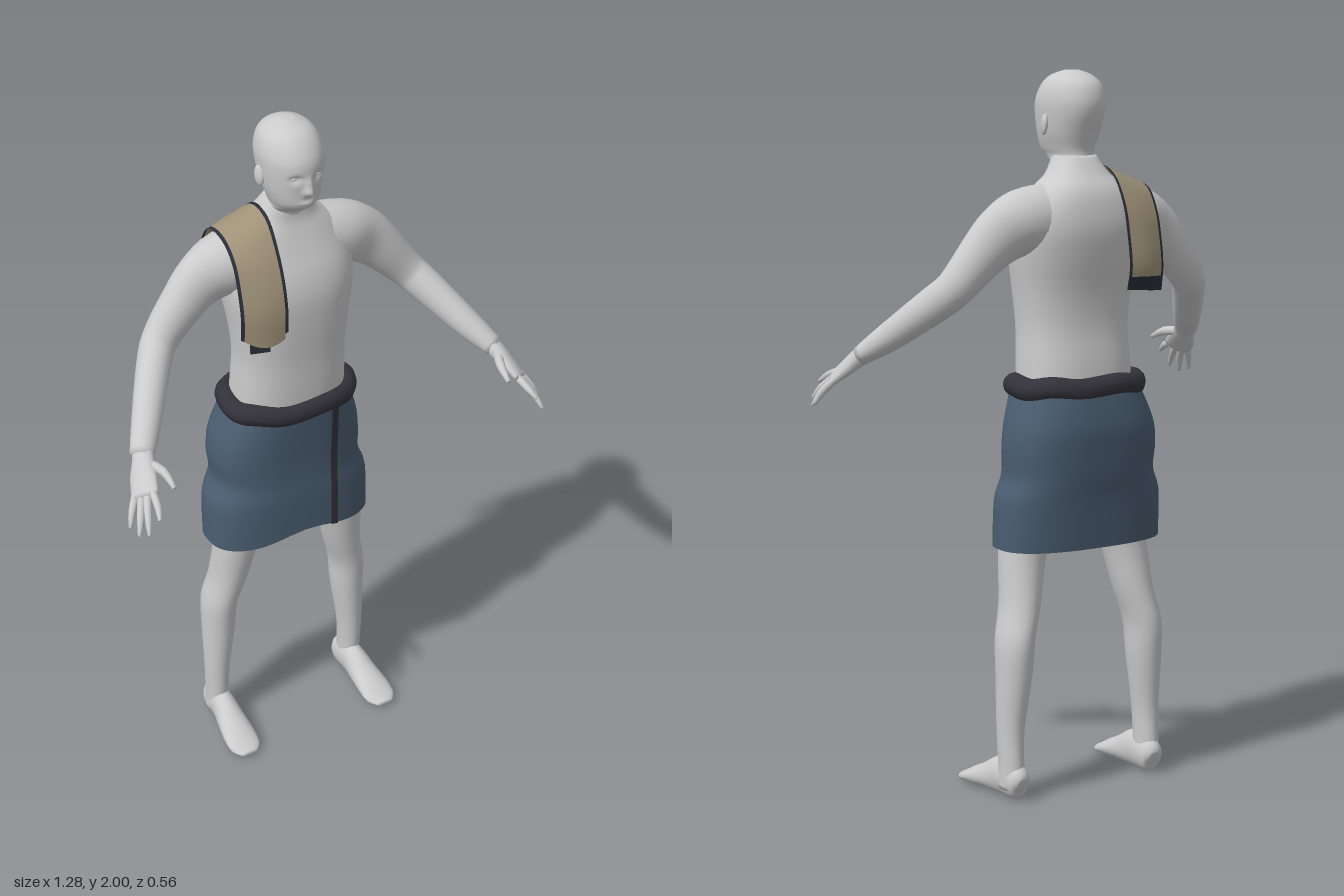
import * as THREE from 'three';

const V = (x, y, z) => new THREE.Vector3(x, y, z);
const material = (name, color, side = THREE.FrontSide) => {
  const m = new THREE.MeshStandardMaterial({ color, side });
  m.name = name;
  return m;
};

// Smoothly resample rows of numbers, n steps between neighbours
function smooth(rows, n) {
  const out = [];
  const at = i => rows[Math.max(0, Math.min(rows.length - 1, i))];
  for (let i = 0; i < rows.length - 1; i++) {
    for (let k = 0; k < n; k++) {
      const t = k / n;
      out.push(at(i).map((b, c) => {
        const a = at(i - 1)[c], d = at(i + 1)[c], e = at(i + 2)[c];
        return b + 0.5 * t * (d - a + t * (2 * a - 5 * b + 4 * d - e + t * (3 * (b - d) + e - a)));
      }));
    }
  }
  out.push(rows[rows.length - 1]);
  return out;
}

// Surface through rows of points; wrap closes each row, caps close the ends
function skinSurface(rings, wrap = true, caps = true) {
  const n = rings[0].length, points = rings.flat(), index = [];
  const cols = wrap ? n : n - 1;
  for (let i = 0; i < rings.length - 1; i++) {
    for (let j = 0; j < cols; j++) {
      const k = (j + 1) % n, a = i * n + j, b = i * n + k, c = a + n, d = b + n;
      index.push(a, b, d, a, d, c);
    }
  }
  if (caps) {
    [0, rings.length - 1].forEach((r, end) => {
      const mid = rings[r].reduce((s, p) => s.add(p), V(0, 0, 0)).divideScalar(n);
      const m = points.push(mid) - 1;
      for (let j = 0; j < n; j++) {
        const a = r * n + j, b = r * n + (j + 1) % n;
        index.push(m, end ? a : b, end ? b : a);
      }
    });
  }
  const g = new THREE.BufferGeometry().setFromPoints(points);
  g.setIndex(index);
  g.computeVertexNormals();
  return g;
}

// Level superellipse ring from [y, centreX, frontZ, backZ, halfWidth]
const power = (v, e) => Math.sign(v) * Math.abs(v) ** e;
function levelRing([y, cx, zf, zb, hw], p = 2, n = 40) {
  return Array.from({ length: n }, (_, j) => {
    const a = j / n * Math.PI * 2;
    return V(cx + hw * power(Math.sin(a), 2 / p), y, (zf + zb) / 2 + (zf - zb) / 2 * power(Math.cos(a), 2 / p));
  });
}

// Limb along a path of [x, y, z, radius along ref, radius across]
function limb(rows, ref, n = 16, steps = 4) {
  const s = smooth(rows, steps), c = s.map(r => V(r[0], r[1], r[2]));
  return skinSurface(s.map((r, i) => {
    const t = c[Math.min(i + 1, s.length - 1)].clone().sub(c[Math.max(i - 1, 0)]).normalize();
    const u = ref.clone().addScaledVector(t, -ref.dot(t)).normalize();
    const w = t.clone().cross(u);
    return Array.from({ length: n }, (_, j) => {
      const a = j / n * Math.PI * 2;
      return c[i].clone().addScaledVector(u, r[3] * Math.cos(a)).addScaledVector(w, r[4] * Math.sin(a));
    });
  }));
}

export function createModel() {
  const model = new THREE.Group();
  const skin = material('skin', 0xcbcbcb);
  const skirtBlue = material('skirtBlue', 0x4a5d70, THREE.DoubleSide);
  const beltDark = material('beltDark', 0x33323a, THREE.DoubleSide);
  const clothTan = material('clothTan', 0x9f9278, THREE.DoubleSide);
  const trimDark = material('trimDark', 0x2b2e3a, THREE.DoubleSide);
  const add = (name, geometry, mat, parent = model) => {
    const m = new THREE.Mesh(geometry, mat);
    m.name = name;
    parent.add(m);
    return m;
  };

  // Torso
  const torso = [
    [0.85, 0, -0.03, -0.22, 0.12], [1.0, 0, -0.01, -0.24, 0.165], [1.18, 0, 0.005, -0.235, 0.165],
    [1.3, 0, 0.008, -0.22, 0.162], [1.4, 0, 0.014, -0.225, 0.172], [1.5, 0, 0.015, -0.245, 0.188],
    [1.57, 0, 0, -0.255, 0.19], [1.63, 0, -0.025, -0.25, 0.175], [1.68, 0, -0.045, -0.235, 0.14],
    [1.72, 0, -0.058, -0.205, 0.09], [1.77, 0, -0.06, -0.17, 0.058]];
  add('torso', skinSurface(smooth(torso, 4).map(r => levelRing(r, 2.4))), skin);

  // Head with face modelled by soft bumps [x, y, spreadX, spreadY, depth]
  const head = [
    [1.7, 0, -0.06, -0.19, 0.07], [1.745, 0, -0.055, -0.172, 0.06], [1.768, 0, -0.016, -0.168, 0.058],
    [1.79, 0, 0.004, -0.17, 0.066], [1.83, 0, 0.01, -0.185, 0.078], [1.88, 0, 0.016, -0.204, 0.085],
    [1.92, 0, 0.012, -0.208, 0.086], [1.96, 0, -0.01, -0.195, 0.075], [1.985, 0, -0.04, -0.165, 0.052],
    [1.999, 0, -0.085, -0.125, 0.018]];
  const bumps = [
    [0, 1.835, 0.011, 0.012, 0.022], [0, 1.857, 0.008, 0.016, 0.011], [0, 1.798, 0.022, 0.006, 0.007],
    [0, 1.785, 0.018, 0.005, 0.005], [-0.033, 1.873, 0.014, 0.009, -0.011], [0.033, 1.873, 0.014, 0.009, -0.011]];
  const headRings = smooth(head, 7).map(r => levelRing(r, 2.1, 72));
  headRings.flat().forEach(p => {
    if (p.z < -0.06) return;
    for (const [x, y, sx, sy, d] of bumps) p.z += d * Math.exp(-(((p.x - x) / sx) ** 2) - ((p.y - y) / sy) ** 2);
  });
  add('head', skinSurface(headRings), skin);

  for (const s of [1, -1]) {
    const side = new THREE.Group();
    side.name = s > 0 ? 'leftLimbs' : 'rightLimbs';
    model.add(side);
    const flip = rows => rows.map(([x, ...rest]) => [s * x, ...rest]);

    // Ear and eye
    const ear = add('ear', new THREE.SphereGeometry(1, 14, 10), skin, side);
    ear.scale.set(0.009, 0.029, 0.017);
    ear.position.set(s * 0.086, 1.853, -0.1);
    ear.rotation.set(-0.15, s * -0.3, 0);
    const eye = add('eye', new THREE.SphereGeometry(1, 12, 8), skin, side);
    eye.scale.set(0.011, 0.006, 0.007);
    eye.position.set(s * 0.033, 1.872, -0.006);

    // Arm
    add('arm', limb(flip([
      [0.08, 1.605, -0.13, 0.095, 0.09], [0.18, 1.595, -0.135, 0.09, 0.083], [0.25, 1.562, -0.135, 0.08, 0.062],
      [0.31, 1.508, -0.13, 0.066, 0.055], [0.382, 1.428, -0.118, 0.053, 0.049], [0.425, 1.38, -0.075, 0.05, 0.047],
      [0.5, 1.29, 0.03, 0.04, 0.041], [0.55, 1.235, 0.1, 0.027, 0.033]]), V(0, 1, 0), 24), skin, side);

    // Hand
    add('palm', limb(flip([
      [0.54, 1.245, 0.085, 0.03, 0.026], [0.553, 1.225, 0.115, 0.033, 0.024], [0.568, 1.2, 0.145, 0.04, 0.02],
      [0.585, 1.168, 0.188, 0.042, 0.014]]), V(s * 0.585, -0.39, -0.5)), skin, side);
    const fingers = [
      ['thumb', [0.55, 1.226, 0.12], [0.524, 1.222, 0.175], [0.518, 1.2, 0.228]],
      ['indexFinger', [0.566, 1.184, 0.195], [0.574, 1.168, 0.242], [0.585, 1.148, 0.275]],
      ['middleFinger', [0.578, 1.175, 0.185], [0.6, 1.137, 0.235], [0.612, 1.103, 0.265]],
      ['ringFinger', [0.59, 1.168, 0.175], [0.613, 1.125, 0.215], [0.628, 1.088, 0.237]],
      ['littleFinger', [0.6, 1.165, 0.16], [0.624, 1.13, 0.186], [0.638, 1.097, 0.203]]];
    for (const [name, a, b, c] of fingers) {
      const r = name === 'thumb' ? 0.014 : 0.011;
      add(name, limb(flip([[...a, r, r], [...b, r * 0.9, r * 0.9], [...c, r * 0.45, r * 0.45]]), V(0, 1, 0), 10, 3), skin, side);
    }

    // Leg
    const leg = [
      [0.03, 0.23, -0.11, -0.195, 0.034], [0.1, 0.23, -0.105, -0.193, 0.033], [0.2, 0.229, -0.1, -0.19, 0.037],
      [0.35, 0.22, -0.09, -0.207, 0.048], [0.45, 0.215, -0.08, -0.214, 0.051], [0.55, 0.19, -0.065, -0.2, 0.055],
      [0.7, 0.166, -0.04, -0.185, 0.068], [0.85, 0.125, -0.02, -0.2, 0.088], [1, 0.095, -0.015, -0.22, 0.09]];
    add('leg', skinSurface(smooth(leg, 4).map(([y, x, ...r]) => levelRing([y, s * x, ...r], 2, 28))), skin, side);

    // Foot
    add('foot', limb(flip([
      [0.225, 0.045, -0.2, 0.02, 0.018], [0.226, 0.05, -0.182, 0.048, 0.034], [0.228, 0.055, -0.11, 0.055, 0.036],
      [0.231, 0.04, -0.05, 0.04, 0.044], [0.234, 0.026, 0.01, 0.026, 0.05], [0.235, 0.016, 0.05, 0.015, 0.046],
      [0.235, 0.012, 0.078, 0.008, 0.024]]), V(0, 1, 0), 20), skin, side);
  }

  // Wrapped skirt, its hem lifted at the front
  const skirt = smooth([
    [0.7, -0.007, 0.01, -0.248, 0.253], [0.83, -0.006, 0.008, -0.258, 0.249], [0.9, -0.003, 0.004, -0.268, 0.224],
    [0.97, -0.005, 0.004, -0.274, 0.226], [1.04, -0.004, 0.008, -0.277, 0.216], [1.13, 0, 0.014, -0.262, 0.183]], 5);
  const hemLift = (x, z, y) => z > -0.12 ? 0.03 * Math.exp(-((x / 0.12) ** 2)) * Math.max(0, (0.9 - y) / 0.2) : 0;
  const skirtRings = skirt.map(r => levelRing(r, 2.6, 56));
  skirtRings.flat().forEach(p => { p.y += hemLift(p.x, p.z, p.y); });
  add('skirt', skinSurface(skirtRings, true, false), skirtBlue);

  // Dark edge of the wrap down the front of the skirt
  const edge = skirt.map(([y, cx, zf, zb, hw]) => [0.077, 0.088, 0.1].map(x => {
    const f = (1 - ((x - cx) / hw) ** 2.6) ** (1 / 2.6);
    const z = (zf + zb) / 2 + (zf - zb) / 2 * f;
    return V(x, y + hemLift(x, z, y), z + 0.005);
  }));
  add('skirtEdge', skinSurface(edge, false, false), beltDark);

  // Rolled belt
  const beltPath = levelRing([1.143, 0, -0.004, -0.238, 0.172], 2.5, 28);
  beltPath.forEach((p, i) => { p.y += 0.004 * Math.sin(i * 1.35); });
  add('belt', new THREE.TubeGeometry(new THREE.CatmullRomCurve3(beltPath, true), 72, 0.033, 12, true), beltDark);

  // Cloth over the right shoulder, spanned between two edge curves
  const curve = (x, pts) => new THREE.CatmullRomCurve3(pts.map(([z, y]) => V(x, y, z)));
  const inner = curve(-0.072, [[0.03, 1.42], [0.031, 1.5], [0.014, 1.58], [-0.022, 1.66], [-0.075, 1.73],
    [-0.14, 1.745], [-0.2, 1.715], [-0.247, 1.64], [-0.27, 1.55], [-0.28, 1.47], [-0.268, 1.41]]);
  const outer = curve(-0.2, [[0.0, 1.43], [0.002, 1.5], [-0.016, 1.58], [-0.04, 1.64], [-0.085, 1.68],
    [-0.14, 1.692], [-0.19, 1.678], [-0.228, 1.62], [-0.247, 1.55], [-0.258, 1.47], [-0.25, 1.4]]);
  const drape = (t0, t1, u0, u1) => skinSurface(Array.from({ length: 41 }, (_, i) => {
    const t = t0 + (t1 - t0) * i / 40, a = inner.getPoint(t), b = outer.getPoint(t);
    return Array.from({ length: 9 }, (_, j) => {
      const u = u0 + (u1 - u0) * j / 8, p = a.clone().lerp(b, u), bulge = Math.sin(u * Math.PI);
      p.z += 0.01 * bulge * Math.cos(t * Math.PI);
      p.y -= 0.025 * bulge * Math.max(0, 1 - t * 8);
      return p;
    });
  }), false, false);
  add('shoulderCloth', drape(0, 0.94, 0.07, 0.93), clothTan);
  add('clothInnerTrim', drape(0.02, 0.94, 0, 0.07), trimDark);
  add('clothOuterTrim', drape(0, 0.94, 0.93, 1), trimDark);
  add('clothBackHem', drape(0.94, 1, 0, 1), trimDark);
  const frontHem = add('clothFrontHem', new THREE.BoxGeometry(0.055, 0.03, 0.008), trimDark);
  frontHem.position.set(-0.148, 1.398, 0.012);
  frontHem.rotation.y = -0.25;

  return model;
}
